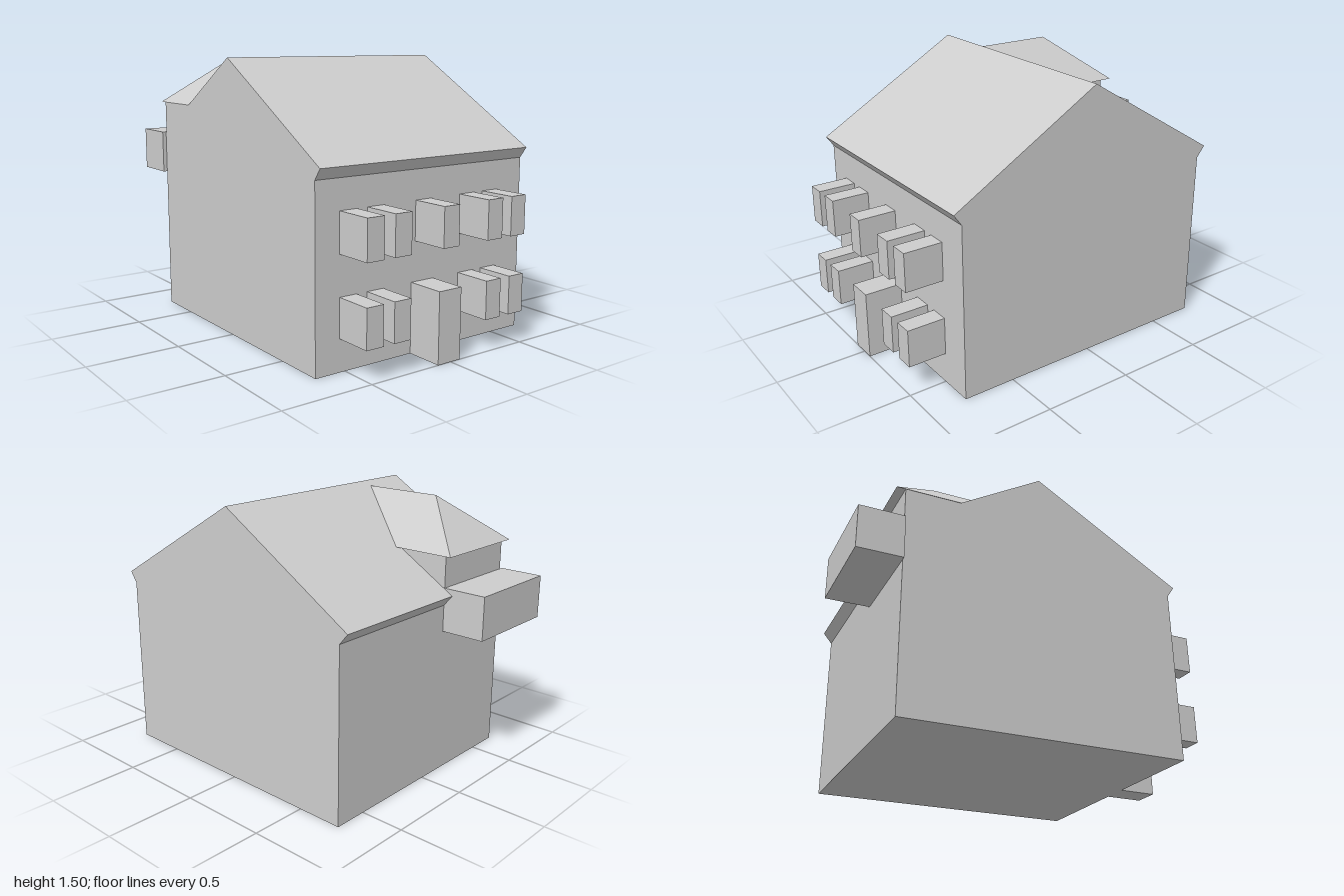
import * as THREE from 'three';

export function createModel() {
  const model = new THREE.Group();
  model.name = 'house';
  const grey = new THREE.MeshStandardMaterial({ color: 0xcccccc });
  grey.name = 'plain grey';

  const add = (name, geometry) => {
    const mesh = new THREE.Mesh(geometry, grey);
    mesh.name = name;
    model.add(mesh);
  };

  // Box given by its limits on each axis
  const box = (name, [x0, x1], [y0, y1], [z0, z1]) =>
    add(name, new THREE.BoxGeometry(x1 - x0, y1 - y0, z1 - z0)
      .translate((x0 + x1) / 2, (y0 + y1) / 2, (z0 + z1) / 2));

  // Main body: gable profile (z, y) with flared eaves, extruded along x
  const profile = new THREE.Shape([
    [-0.757, 0], [0.79, 0], [0.79, 0.953], [0.832, 1.012],
    [0, 1.495], [-0.806, 1.012], [-0.757, 0.953],
  ].map(([z, y]) => new THREE.Vector2(z, y)));
  add('houseBody', new THREE.ExtrudeGeometry(profile, { depth: 1.365, bevelEnabled: false })
    .rotateY(-Math.PI / 2).translate(0.69, 0, 0));

  // Front door and two rows of projecting windows
  const front = [0.785, 1];
  box('door', [-0.083, 0.063], [0, 0.376], front);
  for (const x of [-0.533, -0.367, -0.061, 0.24, 0.405]) {
    box('upperWindow', [x, x + 0.102], [0.587, 0.796], front);
    if (x !== -0.061) box('lowerWindow', [x, x + 0.102], [0.17, 0.376], front);
  }

  // Rear bay and the dormer walls above it
  box('rearBay', [-0.697, -0.136], [0.809, 1.046], [-1, -0.757]);
  box('dormerWalls', [-0.672, -0.136], [1, 1.222], [-0.757, -0.46]);

  // Hipped dormer roof: eave corners, then the two ridge ends
  const corners = [
    [-0.674, 1.222, -0.805], [-0.105, 1.222, -0.805],
    [-0.105, 1.222, -0.457], [-0.674, 1.222, -0.457],
    [-0.388, 1.47, -0.5], [-0.388, 1.47, -0.042],
  ];
  const faces = [
    1, 4, 5, 1, 5, 2, // slope towards +x
    0, 3, 5, 0, 5, 4, // slope towards -x
    0, 4, 1, // rear hip
    0, 1, 2, 0, 2, 3, // soffit
  ];
  const roof = new THREE.BufferGeometry();
  roof.setAttribute('position',
    new THREE.Float32BufferAttribute(faces.flatMap((i) => corners[i]), 3));
  roof.computeVertexNormals();
  add('dormerRoof', roof);

  return model;
}
